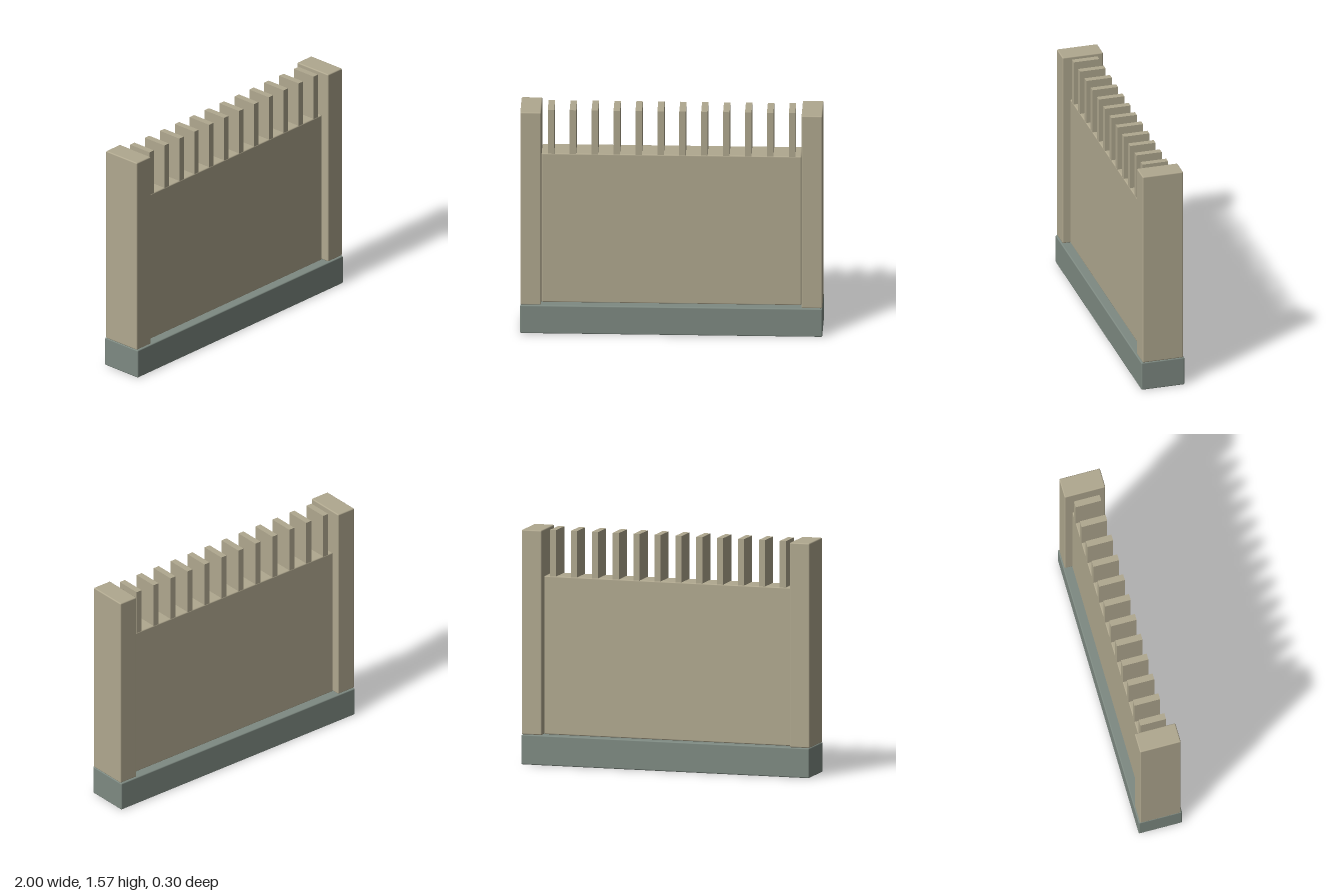
import * as THREE from 'three';
import { RoundedBoxGeometry } from 'three/addons/geometries/RoundedBoxGeometry.js';

const EDGE = 0.008;

export function createModel() {
  const group = new THREE.Group();
  group.name = 'slattedWall';

  const stone = new THREE.MeshStandardMaterial({ color: 0xb0a88f });
  stone.name = 'sandStone';
  const plinth = new THREE.MeshStandardMaterial({ color: 0x7e8a82 });
  plinth.name = 'greyGreenPlinth';

  // Places a geometry of height h with its underside at y
  const add = (name, geometry, material, x, y, h) => {
    const mesh = new THREE.Mesh(geometry, material);
    mesh.name = name;
    mesh.position.set(x, y + h / 2, 0);
    group.add(mesh);
  };
  const softBox = (w, h, d) => new RoundedBoxGeometry(w, h, d, 2, EDGE);

  // Plinth and wall panel
  add('base', softBox(2, 0.2, 0.298), plinth, 0, 0, 0.2);
  add('panel', softBox(1.72, 1.06, 0.176), stone, 0, 0.2, 1.06);

  // End posts
  const post = softBox(0.138, 1.37, 0.28);
  add('leftPost', post, stone, 0.931, 0.2, 1.37);
  add('rightPost', post, stone, -0.931, 0.2, 1.37);

  // Row of upright slats along the top of the panel
  const count = 12;
  const slat = new THREE.BoxGeometry(0.043, 0.312, 0.176);
  for (let i = 0; i < count; i++) {
    const x = -0.798 + (1.596 * i) / (count - 1);
    add('slat' + (i + 1), slat, stone, x, 1.258, 0.312);
  }

  return group;
}
